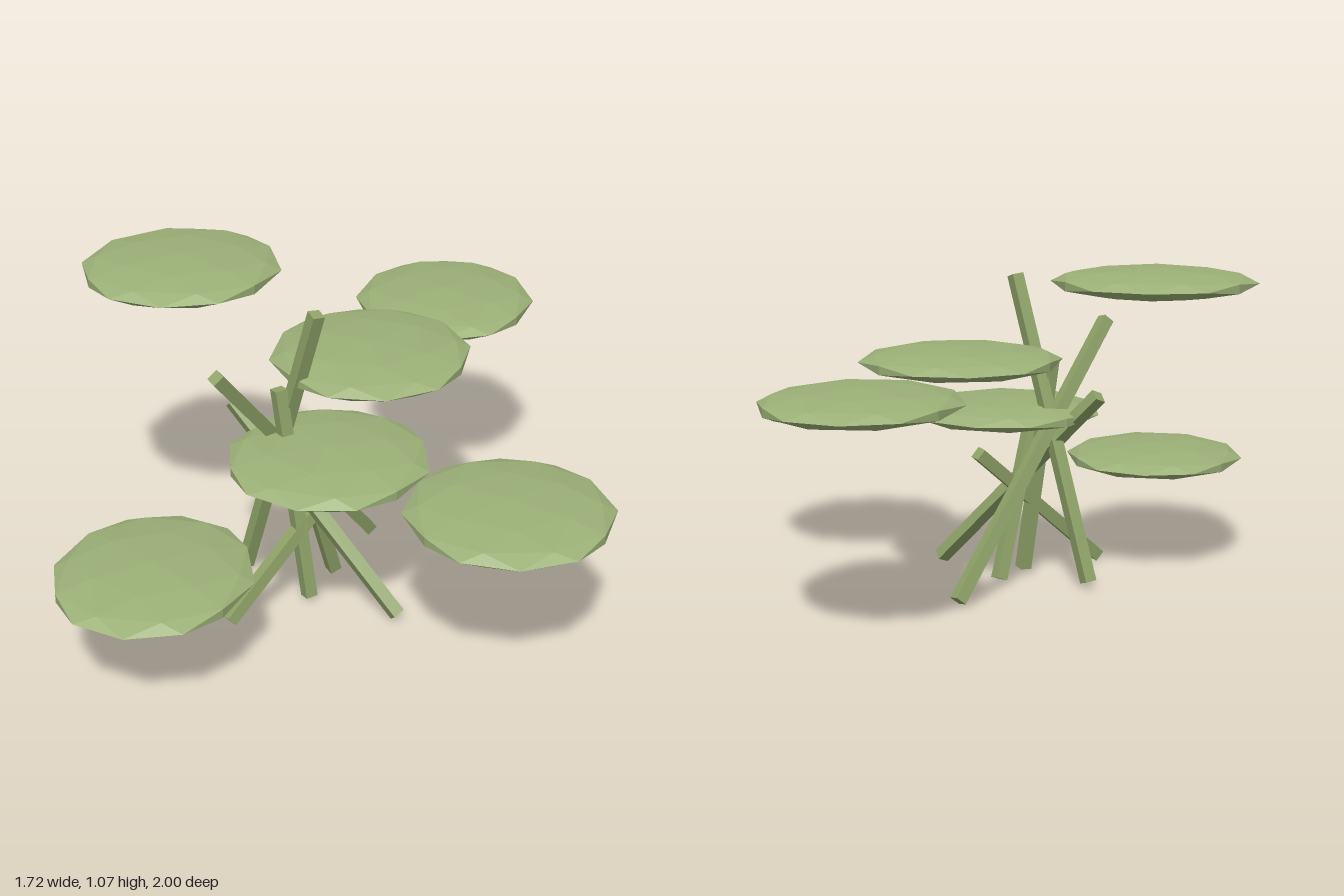
import * as THREE from 'three';

const padMaterial = new THREE.MeshStandardMaterial({ color: 0x9bb077, flatShading: true });
const stemMaterial = new THREE.MeshStandardMaterial({ color: 0x8fa468, flatShading: true });

// Floating leaf: faceted ball turned about y, then flattened to its half sizes
function makePad([x, y, z, halfX, halfZ, turn]) {
  const geometry = new THREE.IcosahedronGeometry(1, 1);
  geometry.rotateY(Math.PI / 2 + THREE.MathUtils.degToRad(turn));
  geometry.computeBoundingBox();
  const { max } = geometry.boundingBox;
  geometry.scale(halfX / max.x, 0.046 / max.y, halfZ / max.z);
  const pad = new THREE.Mesh(geometry, padMaterial);
  pad.name = 'leafPad';
  pad.position.set(x, y, z);
  return pad;
}

// Straight square stem between two points
function makeStem([bottom, top]) {
  const a = new THREE.Vector3(...bottom);
  const b = new THREE.Vector3(...top);
  const direction = b.clone().sub(a);
  const stem = new THREE.Mesh(new THREE.BoxGeometry(0.04, direction.length(), 0.04), stemMaterial);
  stem.name = 'stem';
  stem.position.copy(a).add(b).multiplyScalar(0.5);
  stem.quaternion.setFromUnitVectors(new THREE.Vector3(0, 1, 0), direction.normalize());
  stem.rotateY(Math.PI / 5);
  return stem;
}

export function createModel() {
  const model = new THREE.Group();
  model.name = 'padPlant';

  // Leaf centre x, y, z, half width, half depth, turn in degrees
  const pads = [
    [-0.54, 1.03, -0.095, 0.323, 0.34, 0],
    [0.275, 0.725, -0.643, 0.308, 0.357, 2],
    [0.07, 0.768, -0.068, 0.317, 0.347, 14],
    [-0.03, 0.553, 0.26, 0.32, 0.34, -10],
    [0.538, 0.508, 0.46, 0.323, 0.34, 7],
    [-0.515, 0.333, 0.64, 0.31, 0.358, -3],
  ];
  const leaves = new THREE.Group();
  leaves.name = 'leaves';
  pads.forEach((pad) => leaves.add(makePad(pad)));

  // Stem bottom and top
  const stemEnds = [
    [[-0.335, 0.025, 0.04], [-0.07, 1.015, 0.21]],
    [[0.055, 0.025, -0.24], [-0.36, 0.855, 0.35]],
    [[0.195, 0.025, 0.305], [-0.36, 0.64, 0.065]],
    [[-0.335, 0.025, 0.395], [0.03, 0.445, 0.04]],
    [[-0.1, 0.02, 0.21], [-0.195, 0.74, 0.17]],
    [[-0.04, 0.025, 0.04], [-0.13, 0.55, 0.22]],
  ];
  const stems = new THREE.Group();
  stems.name = 'stems';
  stemEnds.forEach((ends) => stems.add(makeStem(ends)));

  model.add(leaves, stems);
  return model;
}
